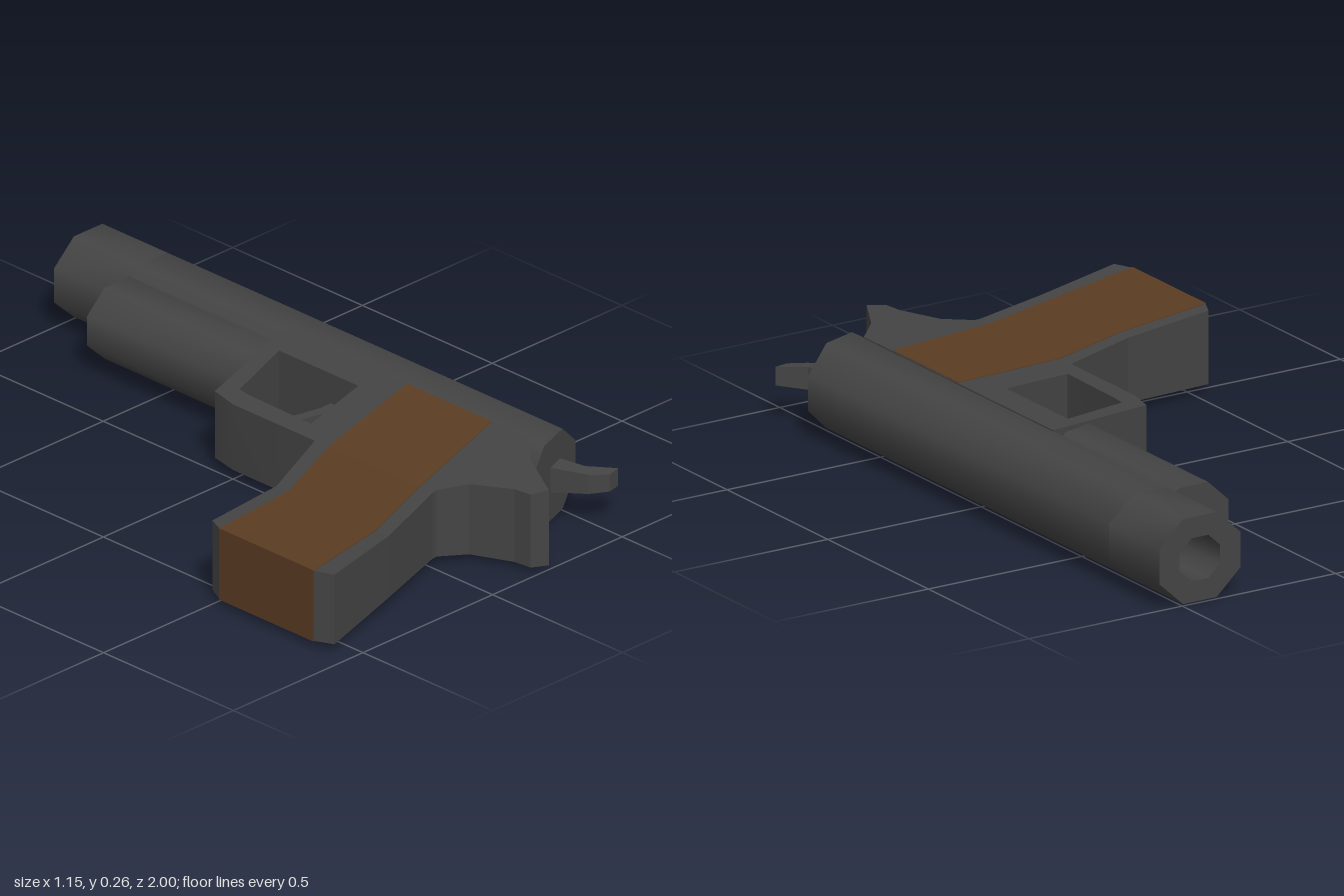
import * as THREE from 'three';
import { toCreasedNormals } from 'three/addons/utils/BufferGeometryUtils.js';

const MID = 0.128; // height of the symmetry plane, the model lies on its side
const steel = new THREE.MeshStandardMaterial({ color: 0x444444 });
const wood = new THREE.MeshStandardMaterial({ color: 0x5a3c22 });

// Half thickness of the frame at x, interpolated between stations
const STATIONS = [[-0.575, 0.107], [-0.26, 0.094], [0, 0.1], [0.39, 0.1265]];
function frameHalf(x) {
  let i = 0;
  while (i < STATIONS.length - 2 && x > STATIONS[i + 1][0]) i++;
  const [x0, h0] = STATIONS[i], [x1, h1] = STATIONS[i + 1];
  return h0 + (h1 - h0) * (x - x0) / (x1 - x0);
}

const toPath = (pts) => pts.map(([x, z]) => new THREE.Vector2(x, -z));

// Plate outlined in (x, z), with half thickness half(x, z) about the mid plane
function plate(name, outline, half, material = steel, hole = null) {
  const shape = new THREE.Shape(toPath(outline));
  if (hole) shape.holes.push(new THREE.Path(toPath(hole)));
  const geo = new THREE.ExtrudeGeometry(shape, { depth: 1, bevelEnabled: false });
  geo.rotateX(-Math.PI / 2);
  const p = geo.attributes.position;
  for (let i = 0; i < p.count; i++) {
    const side = p.getY(i) > 0.5 ? 1 : -1;
    p.setY(i, MID + side * half(p.getX(i), p.getZ(i)));
  }
  geo.computeVertexNormals();
  const mesh = new THREE.Mesh(toCreasedNormals(geo, 0.3), material);
  mesh.name = name;
  return mesh;
}

// Octagon with flats facing x and y, given its half width and half height
function octagon(cx, rx, ry) {
  const k = 1 / Math.cos(Math.PI / 8), pts = [];
  for (let i = 0; i < 8; i++) {
    const a = (i + 0.5) * Math.PI / 4;
    pts.push(new THREE.Vector2(cx + rx * k * Math.cos(a), MID + ry * k * Math.sin(a)));
  }
  return pts;
}

// Eight-sided bar along z; zEnd(x) lets the rear face be slanted
function bar(name, outline, zStart, zEnd, bore = null) {
  const shape = new THREE.Shape(outline);
  if (bore) shape.holes.push(new THREE.Path(bore));
  const geo = new THREE.ExtrudeGeometry(shape, { depth: 1, bevelEnabled: false });
  const p = geo.attributes.position;
  for (let i = 0; i < p.count; i++) p.setZ(i, p.getZ(i) > 0.5 ? zEnd(p.getX(i)) : zStart);
  const mesh = new THREE.Mesh(toCreasedNormals(geo, 0.9), steel);
  mesh.name = name;
  return mesh;
}

export function createModel() {
  const model = new THREE.Group();
  model.name = 'pistol';

  // Slide: bored muzzle section and solid body with a slanted rear
  const slide = new THREE.Group();
  slide.name = 'slide';
  const section = octagon(0.4425, 0.1325, 0.1225);
  slide.add(
    bar('muzzle', section, -1, () => -0.75, octagon(0.4425, 0.066, 0.062)),
    bar('slideBody', section, -0.75, (x) => 0.84 - (x - 0.31) * 0.36),
  );
  model.add(slide);

  // Tube under the barrel
  model.add(bar('underBarrelTube', octagon(0.293, 0.115, 0.108), -0.74, () => -0.12));

  // Frame, in sections split where the thickness changes slope
  const frame = new THREE.Group();
  frame.name = 'frame';
  frame.add(
    plate('gripEnd', [[-0.26, 0.428], [-0.55, 0.47], [-0.573, 0.52], [-0.573, 0.885],
      [-0.55, 0.94], [-0.26, 0.86]], frameHalf),
    plate('gripMiddle', [[0, 0.315], [-0.26, 0.428], [-0.26, 0.86], [0, 0.768]], frameHalf),
    plate('triggerGuardAndTang', [[0.39, -0.19], [0.02, -0.09], [0, 0], [0, 0.315], [0, 0.768],
      [0.02, 0.765], [0.1, 0.81], [0.16, 0.925], [0.167, 0.98], [0.217, 1], [0.3, 0.85], [0.39, 0.75]],
    frameHalf, steel, [[0.07, -0.045], [0.293, -0.115], [0.293, 0.19], [0.06, 0.24], [0.065, 0]]),
  );
  model.add(frame);

  // Wooden grip panels, just proud of the frame and wrapping its end
  const grip = new THREE.Group();
  grip.name = 'gripPanels';
  const edges = [[-0.575, 0.52, 0.885], [-0.26, 0.475, 0.812], [0, 0.368, 0.718], [0.386, 0.285, 0.612]];
  for (let i = 0; i < 3; i++) {
    const [x0, f0, b0] = edges[i], [x1, f1, b1] = edges[i + 1];
    grip.add(plate('gripPanel' + (i + 1), [[x0, f0], [x1, f1], [x1, b1], [x0, b0]],
      (x) => frameHalf(x) + 0.0015, wood));
  }
  model.add(grip);

  // Trigger
  model.add(plate('trigger', [[0.11, 0.04], [0.18, 0.07], [0.25, 0.085], [0.31, 0.085],
    [0.31, 0.12], [0.25, 0.118], [0.17, 0.1], [0.11, 0.075]], () => 0.03));

  // Hammer, narrowing toward its spur
  model.add(plate('hammer', [[0.41, 0.77], [0.48, 0.77], [0.507, 0.85], [0.57, 0.915],
    [0.527, 0.925], [0.48, 0.89], [0.445, 0.83]], (x, z) => 0.038 - (z - 0.79) * 0.09));

  return model;
}
